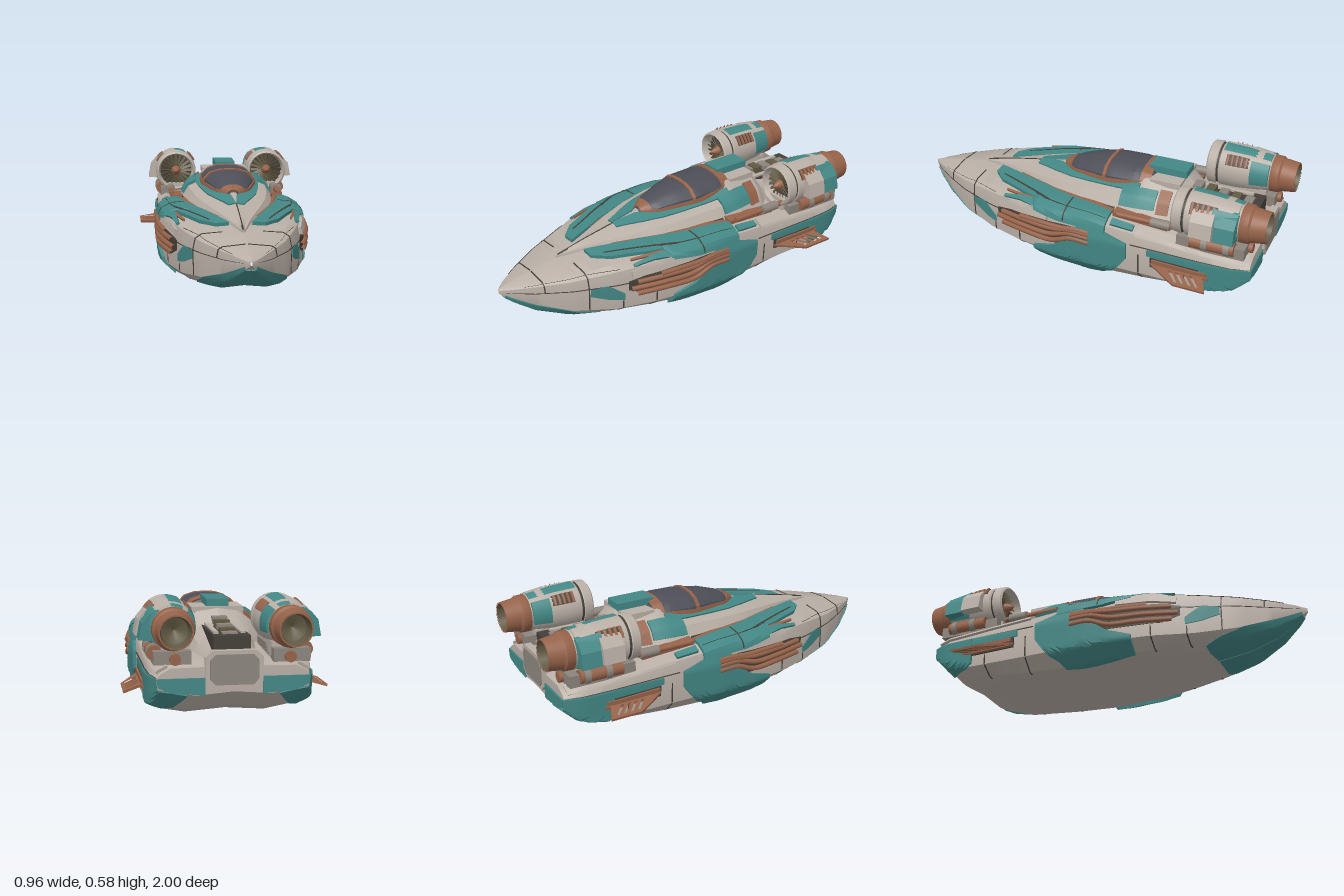
import * as THREE from 'three';
import { toCreasedNormals } from 'three/addons/utils/BufferGeometryUtils.js';

const mat = (name, color, double) => {
  const m = new THREE.MeshStandardMaterial({ color });
  m.name = name;
  if (double) m.side = THREE.DoubleSide;
  return m;
};
const M = {
  white: mat('warm white paint', 0xb9afa6), teal: mat('teal paint', 0x438886),
  copper: mat('copper metal', 0x96634a), glass: mat('dark glass', 0x4e4e58),
  dark: mat('dark seam', 0x443f38), olive: mat('fan blade olive', 0x615943, true),
  grey: mat('grey metal', 0x8c857d),
};

// A half-surface through cross-sections; u walks along a section, z along the craft.
function surface(stations, section) {
  const rows = stations.map(s => ({ z: s[0], p: section(s) }));
  const n = rows[0].p.length - 1;
  const raw = (z, u) => {
    let k = 0;
    while (k < rows.length - 2 && rows[k + 1].z > z) k++;
    const a = rows[k], b = rows[k + 1];
    const t = THREE.MathUtils.clamp((a.z - z) / (a.z - b.z), 0, 1);
    const j = Math.min(n - 1, Math.floor(u)), f = u - j;
    const at = i => a.p[j][i] * (1 - t) * (1 - f) + a.p[j + 1][i] * (1 - t) * f + b.p[j][i] * t * (1 - f) + b.p[j + 1][i] * t * f;
    return new THREE.Vector3(at(0), at(1), a.z + (b.z - a.z) * t);
  };
  const point = (z, u, off = 0) => {
    const p = raw(z, u);
    if (!off) return p;
    const e = 0.02, last = rows[rows.length - 1].z;
    const dz = raw(Math.max(last, z - e), u).sub(raw(Math.min(rows[0].z, z + e), u));
    const du = raw(z, Math.min(n, u + 0.1)).sub(raw(z, Math.max(0, u - 0.1)));
    return p.addScaledVector(dz.cross(du).normalize(), off);
  };
  return { point, n, stations };
}

// Strip of a surface between rows [z, uLow, uHigh], raised by out with closed rims.
function plate(s, rows, out, rim = true) {
  const zs = [];
  rows.forEach((r, i) => {
    const q = rows[i + 1];
    if (!q) return zs.push(r);
    const c = Math.ceil((r[0] - q[0]) / 0.04);
    for (let k = 0; k < c; k++) zs.push(r.map((v, d) => v + (q[d] - v) * k / c));
  });
  const m = Math.max(1, Math.ceil(Math.max(...rows.map(r => r[2] - r[1])) * (rim ? 6 : 1)));
  const line = (r, low) => {
    const a = [];
    for (let j = 0; j <= m; j++) a.push(s.point(r[0], r[1] + (r[2] - r[1]) * j / m, low ? -0.006 : out));
    if (rim) { a.unshift(s.point(r[0], r[1], -0.006)); a.push(s.point(r[0], r[2], -0.006)); }
    return a;
  };
  const grid = zs.map(r => line(r, false));
  if (rim) { grid.unshift(line(zs[0], true)); grid.push(line(zs[zs.length - 1], true)); }
  const pos = [];
  for (let i = 0; i < grid.length - 1; i++) for (let j = 0; j < grid[0].length - 1; j++) {
    const [a, b, c, d] = [grid[i][j], grid[i + 1][j], grid[i + 1][j + 1], grid[i][j + 1]];
    for (const v of [a, b, d, b, c, d]) pos.push(v.x, v.y, v.z);
  }
  const g = new THREE.BufferGeometry();
  g.setAttribute('position', new THREE.Float32BufferAttribute(pos, 3));
  return toCreasedNormals(g, 0.5);
}

function mirrored(geo) {
  const g = geo.index ? geo.toNonIndexed() : geo.clone();
  for (const key of ['position', 'normal']) {
    const a = g.getAttribute(key), v = new THREE.Vector3(), w = new THREE.Vector3();
    for (let i = 0; i < a.count; i++) a.setX(i, -a.getX(i));
    for (let i = 0; i < a.count; i += 3) {
      v.fromBufferAttribute(a, i + 1); w.fromBufferAttribute(a, i + 2);
      a.setXYZ(i + 1, w.x, w.y, w.z); a.setXYZ(i + 2, v.x, v.y, v.z);
    }
  }
  return g;
}

const vecs = pts => pts.map(p => new THREE.Vector2(...p));
const prism = (pts, depth) => new THREE.ExtrudeGeometry(new THREE.Shape(vecs(pts)), { depth, bevelEnabled: false });

export function createModel() {
  const root = new THREE.Group();
  root.name = 'spacecraft';
  const one = (name, g, m) => { const o = new THREE.Mesh(g, m); o.name = name; root.add(o); };
  const both = (name, g, m) => { one(name + 'Left', g, m); one(name + 'Right', mirrored(g), m); };
  const box = (x, y, z, w, h, d) => new THREE.BoxGeometry(w, h, d).translate(x, y, z);
  const skin = (name, s, m) => both(name, plate(s, s.stations.map(r => [r[0], 0, s.n]), 0, false), m);

  // Hull: z, half width, keel, bilge, belt, shoulder, deck
  const hull = surface([
    [1, .004, .24, .247, .25, .255, .26], [.95, .05, .195, .22, .245, .268, .275],
    [.85, .118, .13, .17, .24, .285, .295], [.7, .205, .075, .125, .24, .305, .32],
    [.5, .285, .045, .1, .24, .33, .345], [.3, .345, .03, .1, .245, .345, .36],
    [.1, .375, .012, .1, .25, .35, .37], [-.1, .38, .003, .1, .25, .355, .375],
    [-.4, .376, .015, .1, .25, .335, .36], [-.7, .376, .04, .1, .25, .315, .33],
    [-.85, .37, .085, .13, .25, .31, .32], [-.94, .345, .17, .2, .25, .295, .3], [-.942, 0, .25, .25, .25, .25, .25],
  ], ([, w, yb, y3, y4, sh, deck]) => {
    const k = Math.min(1, w / 0.3);
    return [[0, yb + .014 * k], [.5 * w, yb], [.82 * w, yb + .022 * k], [.985 * w, y3], [w, y4], [.95 * w, sh - .025 * k], [.82 * w, sh], [0, deck]];
  });
  skin('hull', hull, M.white);
  const onHull = (name, rows, m, out = .01) => both(name, plate(hull, rows, out), m);
  onHull('chinPlate', [[.975, .02, 2.9], [.85, .02, 3.05], [.72, .02, 3], [.62, .02, 2.45], [.53, .02, 1.7]], M.teal, .005);
  onHull('deckArmour', [[.54, 6.45, 6.75], [.47, 6.2, 6.66], [.33, 6.06, 6.5], [.23, 5.95, 6.42], [.2, 4.9, 6.38], [.05, 4.6, 6.25], [-.2, 4.5, 6.1]], M.teal, .018);
  onHull('sideBlade', [[.4, 5.05, 5.35], [.3, 5.25, 5.8], [.2, 5, 5.9]], M.teal, .014);
  onHull('bilgeArmour', [[.2, 2, 3.1], [.08, 1.9, 3.35], [0, 1.85, 3.75], [-.06, 1.85, 4.7], [-.17, 1.95, 4.7], [-.2, 2.4, 4.6], [-.32, 3.5, 4.15]], M.teal, .016);
  onHull('bowMarker', [[.62, 3.65, 3.95], [.54, 3.45, 4.05], [.46, 3.35, 3.6]], M.teal, .006);
  onHull('pipeRecess', [[.44, 3.7, 4.1], [.35, 3.45, 4.3], [.02, 3.4, 4.4], [-.1, 3.9, 4.4]], M.dark, .003);
  onHull('flankSliver', [[.42, 4.3, 4.8], [.3, 4.45, 5.1], [.12, 4.45, 4.85]], M.white, .016);
  onHull('sternStripe', [[-.43, 3.8, 4.05], [-.7, 3.7, 4.08], [-.93, 3.6, 4.08]], M.teal, .008);
  onHull('sternCorner', [[-.7, 3.1, 4.02], [-.78, 2.5, 4.02], [-.86, 1.7, 4.02], [-.935, 1.3, 4.02]], M.teal, .012);
  both('sternPanel', prism([[.13, .172], [.28, .185], [.34, .21], [.345, .25], [.13, .25]], .008).translate(0, 0, -.949), M.teal);
  onHull('ventRecess', [[-.45, 3.42, 3.78], [-.76, 3.38, 3.74]], M.dark, .01);
  onHull('ventBar', [[-.47, 3.45, 3.57], [-.75, 3.42, 3.53]], M.copper, .02);
  onHull('ventUpperBar', [[-.46, 3.61, 3.75], [-.74, 3.57, 3.7]], M.copper, .02);
  onHull('deckCopper', [[.4, 6.52, 6.64], [.2, 6.36, 6.48], [-.2, 6.12, 6.24]], M.copper, .012);
  onHull('deckSlit', [[.4, 5.82, 5.98], [.22, 5.7, 5.95]], M.copper, .012);
  onHull('rearDeckTeal', [[-.22, 5.2, 5.9], [-.34, 5.2, 5.8]], M.teal, .015);
  onHull('rearDeckCopper', [[-.21, 6.05, 6.25], [-.5, 6.05, 6.2]], M.copper, .022);
  onHull('rearDeckRail', [[-.36, 4.9, 5.9], [-.6, 4.9, 5.9], [-.92, 4.7, 5.9]], M.white, .014);

  // Panel seams
  onHull('beltSeam', [[.97, 3.98, 4.02], [.44, 3.98, 4.02]], M.dark, .003);
  onHull('rearBeltSeam', [[-.34, 4.09, 4.16], [-.935, 4.09, 4.16]], M.dark, .004);
  for (const [z, lo, hi] of [[.82, 4, 6.95], [.63, 3, 6.5], [.47, 1.7, 3.3], [.3, 1.8, 3.4], [-.38, 1.8, 3.75], [-.62, 1.8, 3.35]])
    onHull('crossSeam', [[z, lo, hi], [z - .006, lo, hi]], M.dark, .0025);
  onHull('bowSeam', [[.9, 5.45, 5.49], [.63, 5.6, 5.63], [.47, 5.2, 5.24]], M.dark, .003);
  onHull('armourCrossSeam', [[.03, 4.65, 6.2], [.024, 4.65, 6.2]], M.dark, .02);
  onHull('armourLongSeam', [[.48, 6.38, 6.41], [.2, 6.05, 6.09], [-.19, 5.6, 5.64]], M.dark, .02);

  // Flank piping
  [[3.55, .4], [3.78, .43], [4.02, .4], [4.2, .28]].forEach(([u, z0], i) => {
    const pts = [0, .3, .6, .8, 1].map(t => hull.point(z0 + (-.12 - z0) * t, u + (t > .7 ? .25 - i * .05 : 0), .012));
    both('flankPipe', new THREE.TubeGeometry(new THREE.CatmullRomCurve3(pts), 24, .013, 8), M.copper);
  });

  // Cabin spine: z, half width, base, shoulder, top
  const cabin = surface([
    [.67, .004, .32, .33, .337], [.5, .06, .335, .358, .375], [.3, .14, .34, .385, .412], [.15, .19, .345, .4, .435],
    [0, .22, .345, .41, .45], [-.2, .24, .345, .42, .475], [-.32, .24, .345, .43, .512], [-.5, .2, .34, .42, .495],
    [-.56, .16, .33, .39, .44], [-.88, .12, .29, .33, .38], [-.9, 0, .3, .31, .32],
  ], ([, w, b, mid, top]) => [[w * 1.12, b - .015], [.88 * w, mid], [.5 * w, top - .014], [0, top]]);
  skin('cabin', cabin, M.white);
  const onCabin = (name, rows, m, out = .008) => both(name, plate(cabin, rows, out), m);
  onCabin('canopyStripe', [[.33, 2.4, 2.98], [.2, 1.9, 2.85], [.1, 1.65, 2.15], [-.1, 1.5, 1.9], [-.3, 1.4, 1.75]], M.teal);
  onCabin('cabinSkirt', [[.5, .15, .45], [.25, .15, .45], [-.2, .15, .45]], M.dark, .004);
  onCabin('cabinShoulder', [[-.22, .55, 1.5], [-.4, .55, 1.5]], M.teal, .014);
  onCabin('cabinCopper', [[-.41, .4, 1.6], [-.47, .4, 1.6]], M.copper, .012);
  onCabin('prowSeam', [[.66, 2.94, 3], [.33, 2.96, 3]], M.dark, .003);

  // Canopy: z, half width, base, top
  const canopy = surface([
    [.18, .02, .42, .442], [.1, .085, .42, .482], [0, .115, .42, .513], [-.12, .145, .425, .528],
    [-.25, .145, .43, .531], [-.34, .12, .44, .522], [-.36, .1, .44, .49],
  ], ([, w, b, t]) => [[1, 0], [.95, .5], [.72, .82], [.38, .97], [0, 1]].map(([x, y]) => [x * w, b + y * (t - b)]));
  skin('canopyGlass', canopy, M.glass);
  const onCanopy = (name, rows, out) => both(name, plate(canopy, rows, out), M.copper);
  onCanopy('canopyRail', [[.17, 0, 1.4], [.08, 0, .85], [-.1, 0, .75], [-.34, 0, 1.1]], .008);
  onCanopy('canopyNose', [[.17, .5, 4], [.125, .5, 4]], .006);
  onCanopy('canopyMidFrame', [[-.085, .5, 4], [-.103, .5, 4]], .006);
  onCanopy('canopyRearFrame', [[-.285, .5, 4], [-.335, .5, 4]], .007);

  // Roof hatch and machinery between the engines
  one('roofHatch', box(0, .524, -.41, .108, .036, .2), M.teal);
  one('hatchBase', box(0, .488, -.42, .25, .03, .16), M.white);
  one('machineryBed', box(0, .385, -.7, .17, .08, .38), M.dark);
  for (let i = 0; i < 5; i++) one('machineryBlock', box(0, .44 - i * .008, -.56 - i * .066, .07, .05, .045), i % 2 ? M.olive : M.grey);
  both('machineryRail', box(.062, .415, -.68, .022, .04, .3), M.white);

  // Stern plate
  const slab = (w, h, c, d) => prism([[-w, -h + c], [-w + c, -h], [w - c, -h], [w, -h + c], [w, h - c], [w - c, h], [-w + c, h], [-w, h - c]], d);
  one('sternFrame', slab(.13, .085, .03, .035).translate(0, .285, -.953), M.white);
  one('sternPlate', slab(.11, .068, .025, .01).translate(0, .285, -.958), M.grey);

  // Engines: lathe profiles are [radius, distance behind the intake]
  const ex = .265, ey = .462, ez = -.54;
  const turned = (pts, seg = 32, start = 0, len = Math.PI * 2) => toCreasedNormals(
    new THREE.LatheGeometry(vecs(pts), seg, start, len).rotateX(-Math.PI / 2).translate(ex, ey, ez), .6);
  both('intakeCowl', turned([[.09, .07], [.096, .012], [.102, 0], [.112, .008], [.116, .05], [.112, .055]]), M.white);
  both('cowlBand', turned([[.109, .05], [.109, .068]]), M.dark);
  both('nacelle', turned([[.109, .065], [.116, .07], [.116, .16], [.108, .27], [.094, .335], [.07, .34]]), M.white);
  both('fanBack', turned([[0, .06], [.092, .06]]), M.dark);
  both('spinner', turned([[.001, -.015], [.016, .005], [.029, .04], [.03, .06]], 16), M.copper);
  both('nozzle', turned([[.09, .325], [.096, .335], [.095, .375], [.086, .385], [.077, .46], [.07, .46]]), M.copper);
  both('nozzleLiner', turned([[.07, .459], [.06, .4], [.03, .39], [0, .37]]), M.olive);
  for (let i = 0; i < 20; i++) both('fanBlade', new THREE.BoxGeometry(.017, .066, .003).rotateY(.6).translate(0, .058, 0)
    .rotateZ(i * Math.PI / 10).translate(ex, ey, ez - .04), M.olive);
  // Nacelle armour as arcs of raised skin; angle 0 is up, positive is outboard
  const arc = (name, m, a, b, z0, z1, h = .008) => {
    const r = y => (y < .16 ? .116 : .116 - (y - .16) * .12) + h;
    both(name, turned([[r(z0) - h - .004, z0], [r(z0), z0 + .004], [r((z0 + z1) / 2), (z0 + z1) / 2], [r(z1), z1 - .004], [r(z1) - h - .01, z1]], 10, a, b - a), m);
  };
  arc('topStripe', M.teal, -.5, .05, .075, .33, .004);
  arc('rearOuterArmour', M.teal, .75, 2.2, .2, .33, .014);
  arc('rearInnerArmour', M.teal, -1.9, -.75, .23, .33, .01);
  arc('rearTopArmour', M.white, .1, .65, .22, .325, .007);
  arc('outerVentBed', M.dark, .65, 1.15, .09, .23, .003);
  arc('innerVentBed', M.dark, -1.15, -.65, .1, .225, .003);
  for (let i = 0; i < 5; i++) {
    arc('outerVentSlat', M.copper, .66, 1.14, .094 + i * .026, .114 + i * .026, .011);
    arc('innerVentSlat', M.copper, -1.13, -.67, .103 + i * .024, .121 + i * .024, .009);
  }
  // Outboard shoulders, pylons and canisters
  const block = (d, z) => prism([[.34, .55], [.385, .53], [.42, .49], [.434, .415], [.36, .41]], d).translate(-.012, 0, z);
  both('outerShoulder', block(.11, -.76), M.white);
  both('shoulderTrim', block(.1, -.865).translate(-.008, -.005, 0), M.teal);
  both('pylon', box(.25, .345, -.71, .13, .09, .3), M.white);
  both('pylonCore', box(.27, .335, -.74, .17, .06, .34), M.grey);
  const rod = (name, m, r, x, y, z0, z1) => both(name, new THREE.CylinderGeometry(r, r, z0 - z1, 14).rotateX(Math.PI / 2).translate(x, y, (z0 + z1) / 2), m);
  rod('canister', M.copper, .034, .345, .35, -.64, -.86);
  rod('canisterBand', M.grey, .038, .345, .35, -.7, -.73);
  rod('canisterCap', M.grey, .038, .345, .35, -.81, -.84);
  rod('innerCanister', M.copper, .026, .26, .33, -.8, -.93);
  rod('deckPipe', M.copper, .014, .3, .37, -.24, -.58);
  rod('deckCoupling', M.grey, .024, .3, .37, -.42, -.52);

  // Slotted side fins
  const fin = new THREE.Shape(vecs([[.35, -.44], [.385, -.45], [.48, -.6], [.482, -.765], [.4, -.73], [.35, -.73]]));
  for (let i = 0; i < 4; i++) {
    const z = -.58 - i * .036;
    fin.holes.push(new THREE.Path(vecs([[.4, z + .03], [.462, z - .025], [.462, z - .038], [.4, z + .014]])));
  }
  both('sideFin', new THREE.ExtrudeGeometry(fin, { depth: .012, bevelEnabled: false }).rotateX(Math.PI / 2)
    .translate(-.38, 0, 0).rotateZ(-.24).translate(.38, .187, 0), M.copper);
  return root;
}
